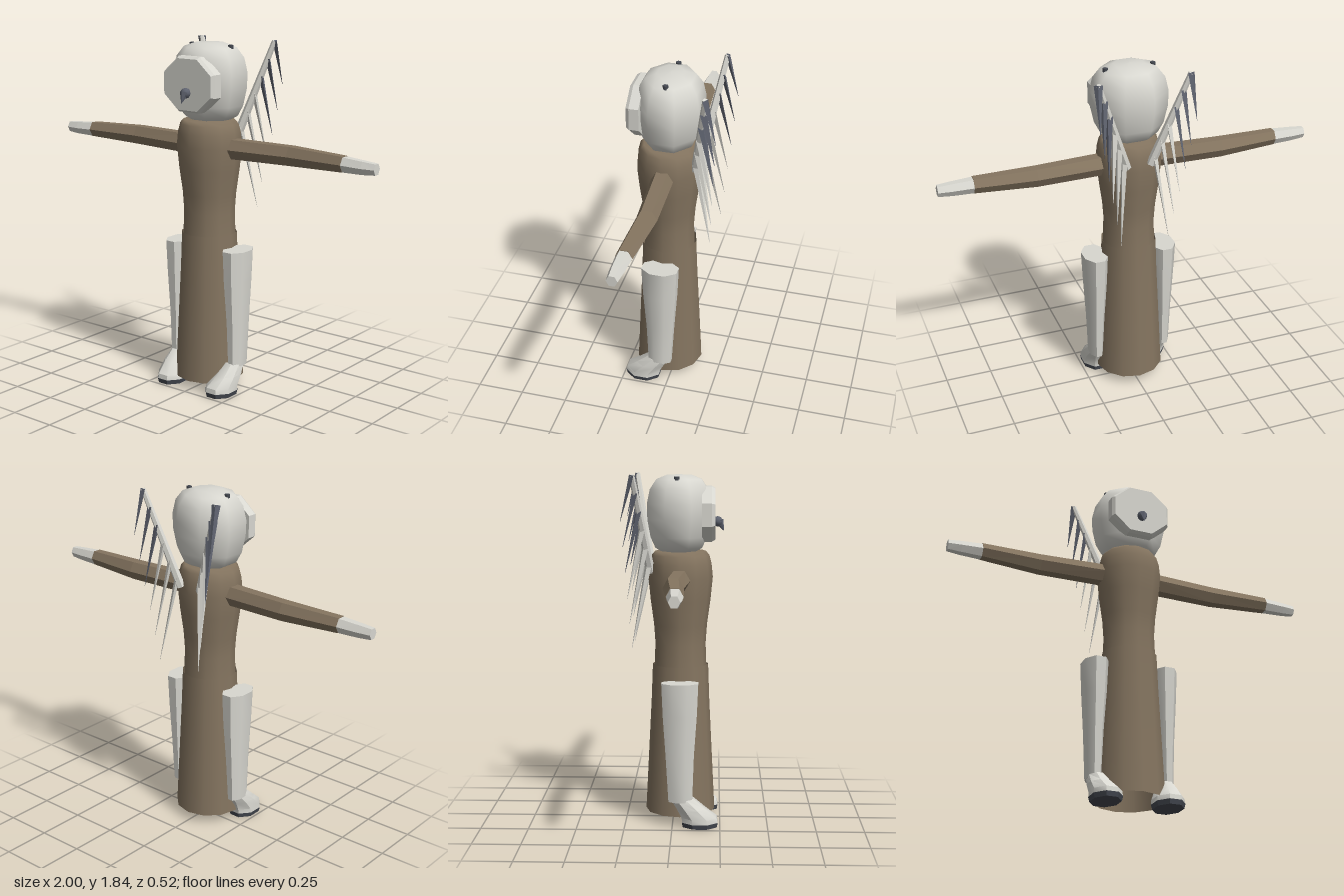
import * as THREE from 'three';
import { toCreasedNormals } from 'three/addons/utils/BufferGeometryUtils.js';

const material = (name, color, side = THREE.FrontSide) => {
  const m = new THREE.MeshStandardMaterial({ color, side });
  m.name = name;
  return m;
};

// Closed loft along y. Each ring is [x, y, z, halfWidth, halfDepth, tilt].
function loft(rings, n, flatSides, crease) {
  const pos = [];
  const phase = flatSides ? Math.PI / n : 0;
  const k = flatSides ? 1 / Math.cos(Math.PI / n) : 1;
  const point = (r, i) => {
    const a = phase + (i * 2 * Math.PI) / n;
    return [r[0] + r[3] * k * Math.sin(a), r[1] + (r[5] || 0) * Math.cos(a), r[2] + r[4] * k * Math.cos(a)];
  };
  const first = rings[0], last = rings[rings.length - 1];
  for (let i = 0; i < n; i++) {
    for (let j = 0; j < rings.length - 1; j++) {
      const a = point(rings[j], i), b = point(rings[j], i + 1);
      const c = point(rings[j + 1], i + 1), d = point(rings[j + 1], i);
      pos.push(...a, ...b, ...c, ...a, ...c, ...d);
    }
    pos.push(...first.slice(0, 3), ...point(first, i + 1), ...point(first, i));
    pos.push(...last.slice(0, 3), ...point(last, i), ...point(last, i + 1));
  }
  const g = new THREE.BufferGeometry();
  g.setAttribute('position', new THREE.Float32BufferAttribute(pos, 3));
  g.computeVertexNormals();
  return crease ? toCreasedNormals(g, crease) : g;
}

// Tapered spar from a to b, flattened in depth.
function spar(a, b, ra, rb, sides, depth) {
  const dir = b.clone().sub(a);
  const g = new THREE.CylinderGeometry(rb, ra, dir.length(), sides).scale(1, 1, depth);
  g.applyQuaternion(new THREE.Quaternion().setFromUnitVectors(new THREE.Vector3(0, 1, 0), dir.normalize()));
  g.translate((a.x + b.x) / 2, (a.y + b.y) / 2, (a.z + b.z) / 2);
  return toCreasedNormals(g, 0.3);
}

function lathe(profile, segments, phase, depth, z) {
  const pts = profile.map(([r, y]) => new THREE.Vector2(r, y));
  return new THREE.LatheGeometry(pts, segments, phase).scale(1, 1, depth).translate(0, 0, z);
}

export function createModel() {
  const model = new THREE.Group();
  model.name = 'robedFigure';
  const brown = material('brown cloth', 0x857560);
  const robe = material('brown robe', 0x857560, THREE.DoubleSide);
  const pale = material('pale shell', 0xd8d7d0);
  const slate = material('slate', 0x5f636f);
  const dark = material('dark sole', 0x464a52);
  const add = (parent, name, geometry, mat) => {
    const mesh = new THREE.Mesh(geometry, mat);
    mesh.name = name;
    parent.add(mesh);
    return mesh;
  };

  // Robe
  add(model, 'skirt', lathe([[0.183, 0.05], [0.168, 0.35], [0.153, 0.65], [0.146, 0.84]], 12, 0, 1, 0.038), robe);
  add(model, 'torso', lathe([[0.14, 0.82], [0.135, 0.95], [0.142, 1.05], [0.16, 1.18], [0.172, 1.3],
    [0.165, 1.37], [0.153, 1.415], [0.135, 1.435], [0, 1.44]], 12, 0, 0.98, 0.038), brown);

  // Head
  add(model, 'head', lathe([[0, 1.425], [0.1, 1.43], [0.15, 1.455], [0.18, 1.51], [0.2, 1.6], [0.203, 1.68],
    [0.185, 1.755], [0.145, 1.805], [0.08, 1.827], [0, 1.83]], 8, Math.PI / 8, 0.87, 0.03), pale);

  // Octagonal face plate
  const plate = loft([[0, 0.15, -1.628, 0.162, 0.141], [0, 0.2, -1.628, 0.162, 0.141],
    [0, 0.218, -1.628, 0.15, 0.13]], 8, true, 0.3).rotateX(Math.PI / 2);
  add(model, 'facePlate', plate, pale);

  // Drooping beak
  add(model, 'beakBase', new THREE.SphereGeometry(0.027, 8, 6).translate(0, 1.588, 0.23), slate);
  add(model, 'beakTip', spar(new THREE.Vector3(0, 1.59, 0.238), new THREE.Vector3(0, 1.54, 0.263), 0.024, 0.001, 6, 1), slate);

  for (const side of [1, -1]) {
    const half = new THREE.Group();
    half.name = side > 0 ? 'leftSide' : 'rightSide';
    half.scale.x = side;
    model.add(half);

    // Crown stud
    add(half, 'crownStud', new THREE.CylinderGeometry(0.014, 0.014, 0.03, 6).translate(0.125, 1.805, 0.022), dark);

    // Arm and hand, lofted outward
    add(half, 'sleeve', loft([[-1.295, 0.12, 0.037, 0.058, 0.058], [-1.297, 0.5, 0.016, 0.055, 0.052],
      [-1.297, 0.82, 0.034, 0.044, 0.043]], 6, false).rotateZ(-Math.PI / 2), brown);
    add(half, 'hand', loft([[-1.296, 0.82, 0.034, 0.042, 0.041], [-1.293, 0.93, 0.037, 0.037, 0.035],
      [-1.293, 1, 0.037, 0.031, 0.028]], 6, false).rotateZ(-Math.PI / 2), pale);

    // Leg and foot
    add(half, 'leg', loft([[0.193, 0.14, 0.043, 0.036, 0.062], [0.192, 0.38, 0.04, 0.045, 0.073],
      [0.19, 0.6, 0.04, 0.058, 0.088], [0.19, 0.77, 0.04, 0.065, 0.095]], 8, true, 0.8), pale);
    add(half, 'foot', loft([[0.165, 0.025, 0.145, 0.075, 0.093], [0.165, 0.05, 0.142, 0.073, 0.092],
      [0.178, 0.1, 0.1, 0.058, 0.075], [0.183, 0.148, 0.056, 0.043, 0.054, 0.01]], 8, true, 0.7), pale);
    add(half, 'sole', loft([[0.165, 0, 0.145, 0.07, 0.089], [0.165, 0.025, 0.145, 0.076, 0.094]], 8, true, 0.5), dark);

    // Wing: a raised spar with hanging feathers, longest near the back
    const wing = new THREE.Group();
    wing.name = 'wing';
    half.add(wing);
    const root = new THREE.Vector3(0.065, 1.33, -0.115), tip = new THREE.Vector3(0.238, 1.83, -0.2);
    add(wing, 'wingSpar', spar(root, tip, 0.024, 0.014, 6, 1), pale);
    const count = 6;
    for (let i = 0; i < count; i++) {
      const t = i / (count - 1);
      const start = tip.clone().lerp(root, t * 0.9);
      const end = new THREE.Vector3(0.25, 1.6, -0.258).lerp(new THREE.Vector3(0.13, 0.94, -0.21), t);
      add(wing, 'feather', spar(start, end, 0.022, 0.001, 4, 0.6), i < 3 ? slate : pale);
    }
  }
  return model;
}
